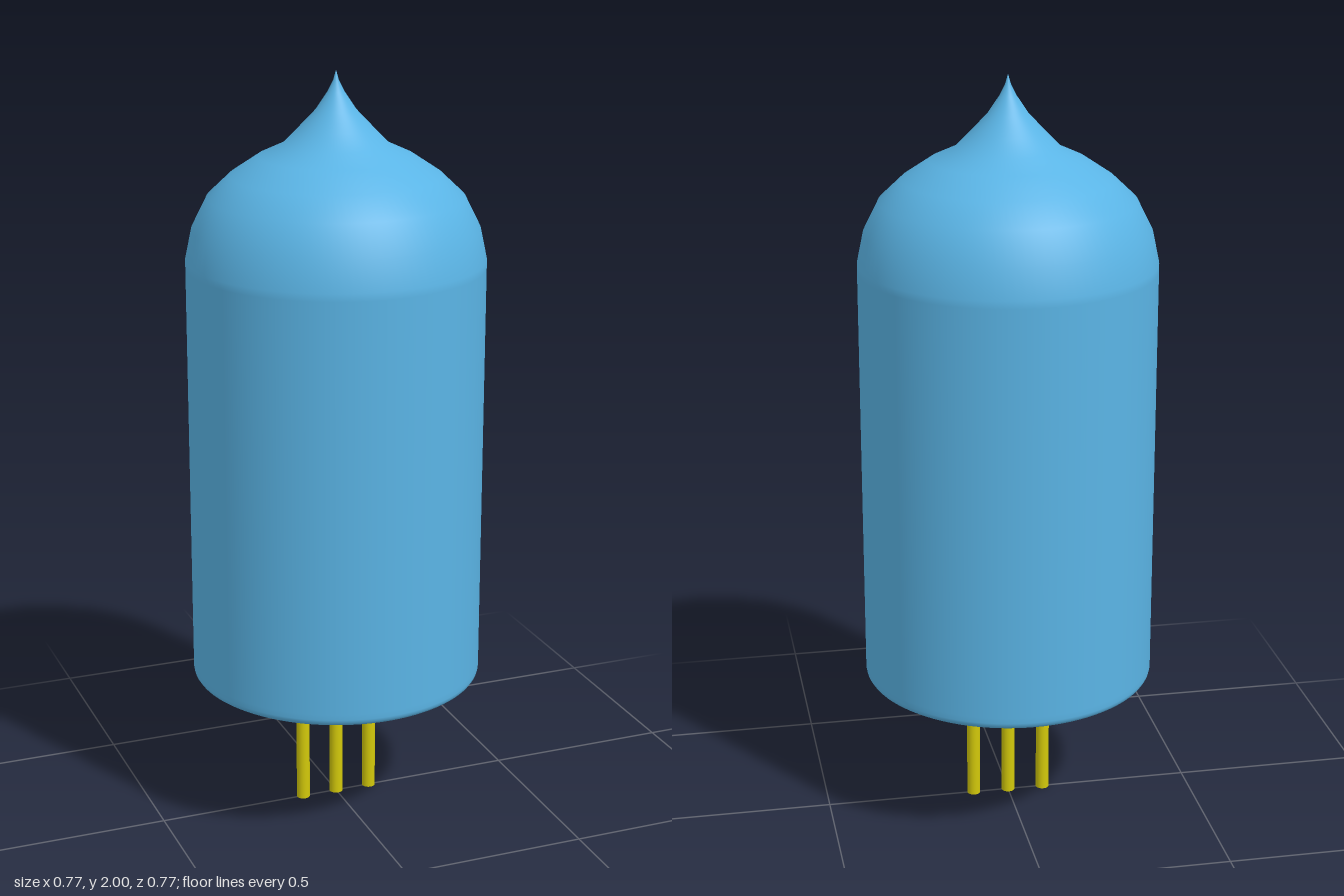
import * as THREE from 'three';

export function createModel() {
  const group = new THREE.Group();
  const blue = new THREE.MeshStandardMaterial({ color: 0x5ab4e5 });
  const yellow = new THREE.MeshStandardMaterial({ color: 0xd2c80a });

  // Bulb: flat base with a small rounded rim, straight wall, dome and drawn-out tip
  const base = 0.375, radius = 0.387, rim = 0.02;
  const profile = [[0, base], [radius - rim - 0.005, base]];
  for (let i = 0; i <= 4; i++) {
    const a = (i / 4) * Math.PI / 2;
    profile.push([radius - rim + rim * Math.sin(a), base + rim - rim * Math.cos(a)]);
  }
  profile.push(
    [radius, 0.41], [radius, 1.5], [radius, 1.52], [0.37, 1.6], [0.33, 1.68],
    [0.272, 1.735], [0.2, 1.783], [0.137, 1.812], [0.095, 1.855],
    [0.052, 1.9], [0.022, 1.945], [0.007, 1.975], [0, 2]
  );
  const bulb = new THREE.Mesh(
    new THREE.LatheGeometry(profile.map(([r, y]) => new THREE.Vector2(r, y)), 96), blue);
  bulb.name = 'bulb';
  group.add(bulb);

  // Three contact pins in a row under the base
  const pinGeometry = new THREE.CylinderGeometry(0.018, 0.018, 0.4, 20);
  ['rightPin', 'centrePin', 'leftPin'].forEach((name, i) => {
    const pin = new THREE.Mesh(pinGeometry, yellow);
    pin.name = name;
    pin.position.set((i - 1) * 0.097, 0.2, 0);
    group.add(pin);
  });

  return group;
}
